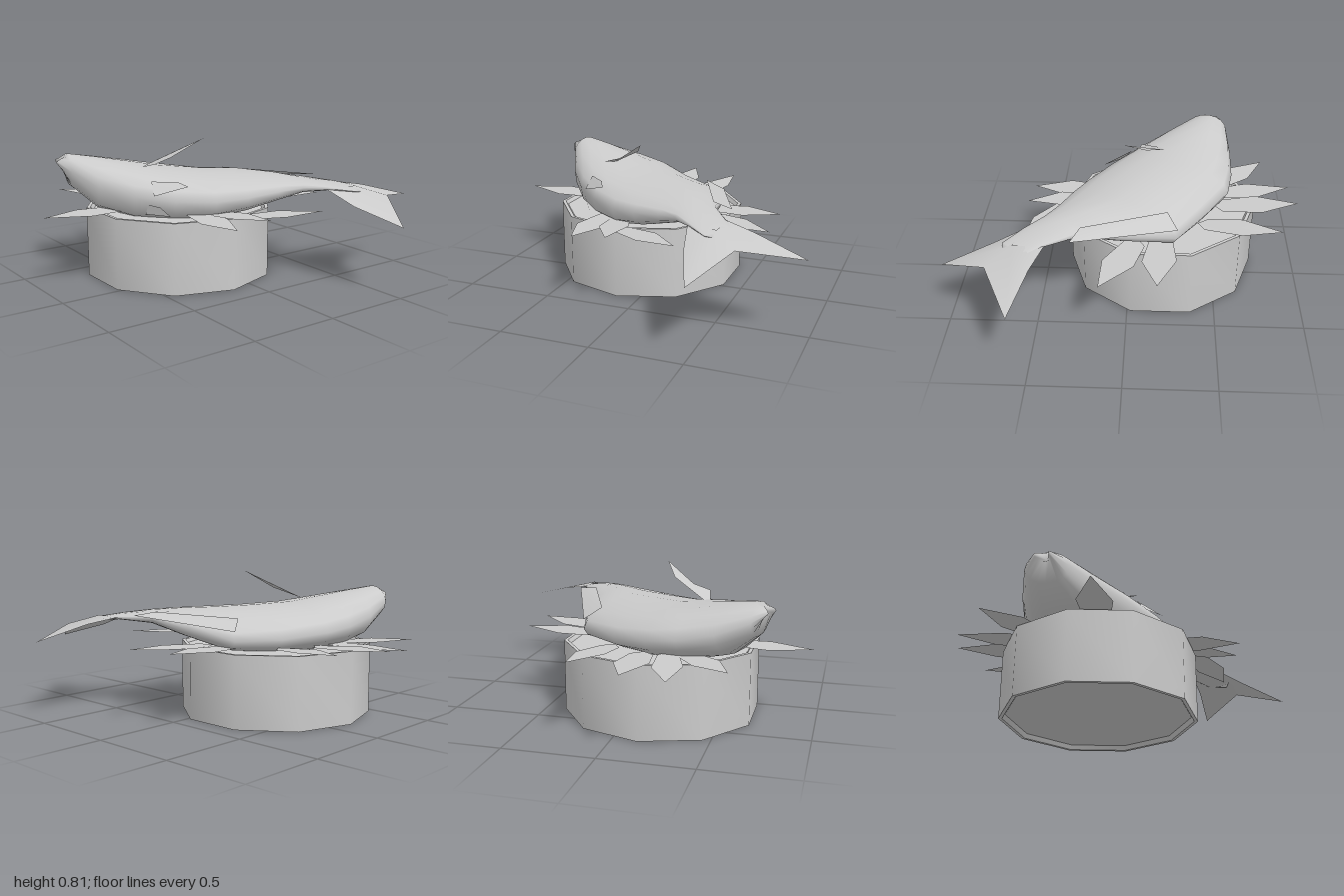
import * as THREE from 'three';
import { toCreasedNormals } from 'three/addons/utils/BufferGeometryUtils.js';

const material = new THREE.MeshStandardMaterial({ color: 0xcccccc, side: THREE.DoubleSide });

function geometryFrom(points, index) {
  const g = new THREE.BufferGeometry();
  g.setAttribute('position', new THREE.Float32BufferAttribute(points.flat(), 3));
  g.setIndex(index);
  g.computeVertexNormals();
  return g;
}

function add(group, name, geometry) {
  const mesh = new THREE.Mesh(geometry, material);
  mesh.name = name;
  group.add(mesh);
  return mesh;
}

// Thin sheet: a fan of triangles around the first point
function sheet(points) {
  const index = [];
  for (let i = 1; i < points.length - 1; i++) index.push(0, i + 1, i);
  return geometryFrom(points, index);
}

// Body lofted through sections: [backX, backZ, bellyX, bellyZ, top, bottom, dip of the back edge]
function bodyGeometry() {
  const sections = [
    [-0.54, 0.76, -0.46, 0.79, 0.69, 0.64, 0],
    [-0.59, 0.68, -0.36, 0.74, 0.71, 0.53, 0],
    [-0.61, 0.50, -0.20, 0.66, 0.69, 0.41, 0],
    [-0.61, 0.30, -0.02, 0.53, 0.66, 0.36, 0],
    [-0.58, 0.13, 0.14, 0.37, 0.63, 0.35, 0],
    [-0.43, -0.08, 0.27, 0.19, 0.615, 0.36, 0.03],
    [-0.28, -0.30, 0.35, 0.03, 0.61, 0.40, 0.05],
    [0.00, -0.37, 0.41, -0.14, 0.60, 0.46, 0.03],
    [0.25, -0.42, 0.47, -0.26, 0.585, 0.51, 0],
    [0.43, -0.53, 0.56, -0.36, 0.565, 0.53, 0],
    [0.54, -0.61, 0.66, -0.48, 0.54, 0.525, 0],
  ];
  const n = 16, points = [], index = [];
  const bulge = (v, p) => Math.sign(v) * Math.abs(v) ** p;
  sections.forEach(([lx, lz, rx, rz, top, bottom, dip], i) => {
    for (let j = 0; j < n; j++) {
      const a = (j / n) * Math.PI * 2;
      const p = j > n * 0.75 ? 0.65 : 1; // fuller on the belly's underside
      const c = bulge(Math.cos(a), p), s = bulge(Math.sin(a), p);
      const pull = i === 0 ? 0.04 * s * s : 0; // lips part in the middle
      points.push([
        (lx + rx) / 2 + (rx - lx) / 2 * c + pull * 0.6,
        (top + bottom) / 2 + (top - bottom) / 2 * s - dip * Math.max(0, -c),
        (lz + rz) / 2 + (rz - lz) / 2 * c - pull,
      ]);
    }
  });
  for (let i = 0; i < sections.length - 1; i++) {
    for (let j = 0; j < n; j++) {
      const a = i * n + j, b = i * n + (j + 1) % n;
      index.push(a, a + n, b, b, a + n, b + n);
    }
  }
  // Recessed mouth and closed tail end
  const mouth = points.push([-0.47, 0.66, 0.71]) - 1;
  const end = points.push([0.65, 0.52, -0.58]) - 1;
  const last = (sections.length - 1) * n;
  for (let j = 0; j < n; j++) {
    const k = (j + 1) % n;
    index.push(mouth, j, k, end, last + k, last + j);
  }
  return geometryFrom(points, index);
}

// Pointed leaf from base to tip, widest a little beyond its middle
function leafGeometry(bx, bz, tx, tz, width, lift) {
  const dx = tx - bx, dz = tz - bz, len = Math.hypot(dx, dz);
  const at = (t, w, y) => [bx + dx * t - dz / len * w, y, bz + dz * t + dx / len * w];
  const w = width / 2, y = 0.412;
  return sheet([
    at(0, 0, y), at(0.1, w * 0.7, y), at(0.55, w, y + lift * 0.6), at(1, 0, y + lift),
    at(0.5, -w, y + lift * 0.6), at(0.1, -w * 0.7, y),
  ]);
}

export function createModel() {
  const model = new THREE.Group();
  model.name = 'fishOnTub';

  // Ten-sided tub, closed by a shallow recessed disc at both ends
  const profile = [
    [0, 0.025], [0.515, 0.025], [0.53, 0], [0.55, 0],
    [0.55, 0.405], [0.53, 0.405], [0.515, 0.385], [0, 0.385],
  ].map(([r, y]) => new THREE.Vector2(r, y));
  const tub = new THREE.LatheGeometry(profile, 10, Math.PI / 2);
  add(model, 'tub', toCreasedNormals(tub, 0.7)).position.set(-0.19, 0, 0.135);

  // Leaves spread around the rim: base x, z, tip x, z, width, lift
  const leaves = new THREE.Group();
  leaves.name = 'leaves';
  model.add(leaves);
  [
    [-0.19, -0.22, -0.17, -0.68, 0.19, 0.01],
    [-0.06, -0.25, 0.14, -0.69, 0.18, 0],
    [-0.40, -0.08, -0.88, -0.19, 0.16, 0.025],
    [-0.50, 0.11, -1.00, 0.12, 0.18, 0.02],
    [-0.48, 0.24, -0.97, 0.34, 0.16, -0.005],
    [-0.48, 0.32, -0.82, 0.61, 0.17, 0.015],
    [-0.20, 0.48, -0.24, 0.98, 0.19, 0],
    [0.12, 0.25, 0.59, 0.29, 0.18, 0],
    [0.15, 0.18, 0.61, 0.08, 0.16, 0.025],
    [0.36, 0.12, 0.59, -0.30, 0.16, 0.02],
  ].forEach((leaf) => add(leaves, 'leaf', leafGeometry(...leaf)));

  // Fish lying on its side
  const fish = new THREE.Group();
  fish.name = 'fish';
  model.add(fish);
  add(fish, 'body', bodyGeometry());
  add(fish, 'tailFin', sheet([
    [0.60, 0.55, -0.53], [0.56, 0.54, -0.36], [0.73, 0.47, -0.40], [1.00, 0.39, -0.50],
    [0.73, 0.50, -0.66], [0.57, 0.44, -0.99], [0.49, 0.52, -0.70], [0.43, 0.55, -0.53],
  ]));
  add(fish, 'dorsalFin', sheet([
    [-0.22, 0.57, -0.21], [0.25, 0.585, -0.40], [0.30, 0.57, -0.52], [-0.28, 0.51, -0.30],
  ]));
  add(fish, 'pectoralFin', sheet([
    [-0.20, 0.64, 0.37], [-0.17, 0.64, 0.40], [-0.06, 0.67, 0.38],
    [-0.05, 0.70, 0.28], [0.04, 0.81, 0.11], [-0.09, 0.74, 0.18],
  ]));
  add(fish, 'sideFin', sheet([
    [0.00, 0.59, 0.44], [0.06, 0.52, 0.46], [0.16, 0.57, 0.30], [0.10, 0.59, 0.33],
  ]));
  add(fish, 'pelvicFin', sheet([
    [0.00, 0.41, 0.48], [0.03, 0.47, 0.48], [0.09, 0.46, 0.44], [0.13, 0.41, 0.40],
  ]));
  return model;
}
